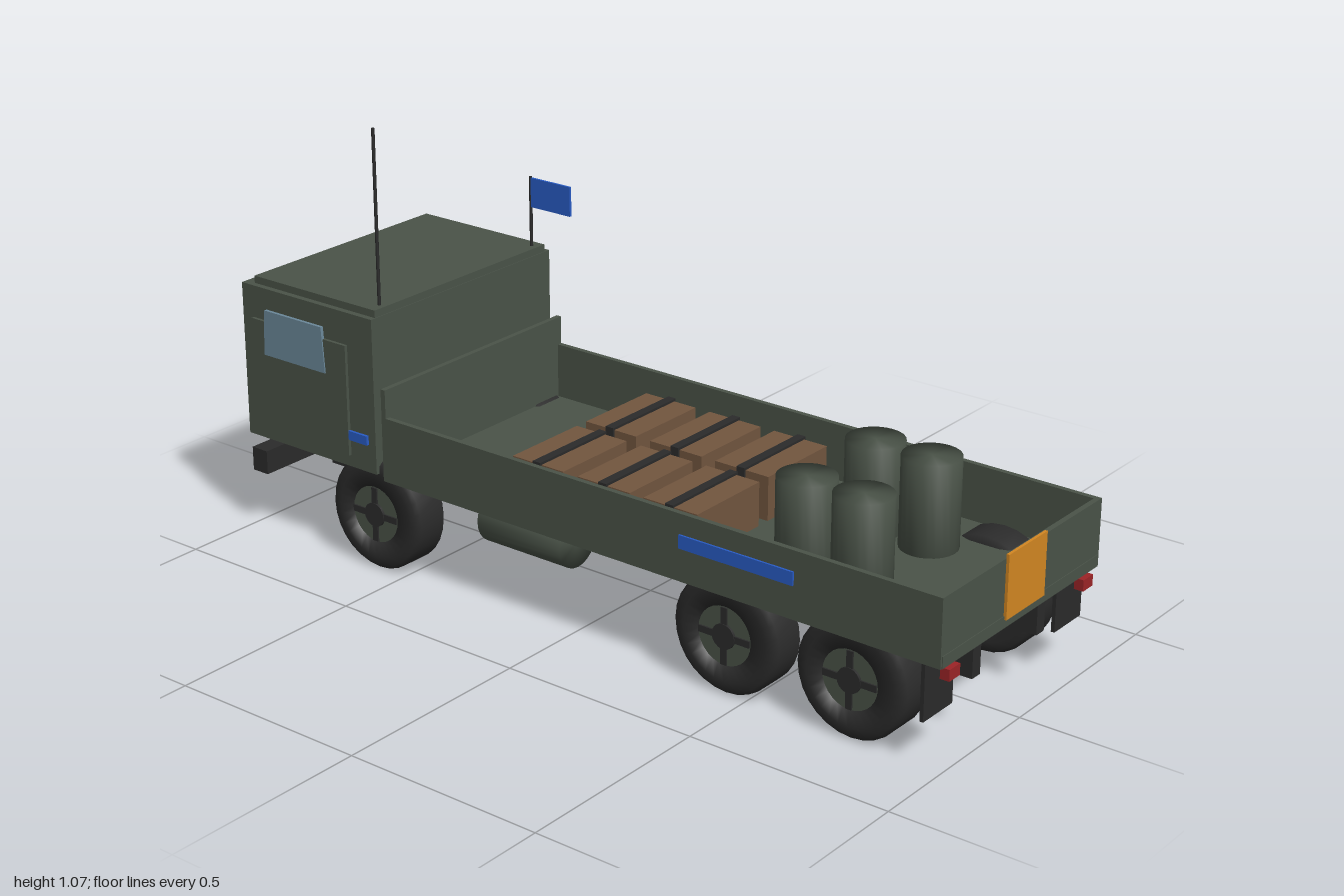
import * as THREE from 'three';

const paint = (name, color) => Object.assign(new THREE.MeshStandardMaterial({ color }), { name });

export function createModel() {
  const truck = new THREE.Group();
  truck.name = 'cargoTruck';
  const green = paint('olive green', 0x4a5348);
  const black = paint('black', 0x2b2b2b);
  const wood = paint('crate wood', 0x72563f);
  const blue = paint('signal blue', 0x295cc4);
  const orange = paint('orange', 0xd38722);
  const red = paint('tail light red', 0x9c2427);
  const glass = paint('window glass', 0x6b8899);
  const cream = paint('headlight cream', 0xc9cdb9);

  const add = (name, geo, mat, x = 0, y = 0, z = 0, parent = truck) => {
    const m = new THREE.Mesh(geo, mat);
    m.name = name;
    m.position.set(x, y, z);
    parent.add(m);
    return m;
  };
  // box given by its lower and upper limits on each axis
  const box = (name, mat, x0, x1, y0, y1, z0, z1, parent = truck) =>
    add(name, new THREE.BoxGeometry(x1 - x0, y1 - y0, z1 - z0), mat,
      (x0 + x1) / 2, (y0 + y1) / 2, (z0 + z1) / 2, parent);
  const lathe = (pts, n) => new THREE.LatheGeometry(pts.map(([r, y]) => new THREE.Vector2(r, y)), n);
  // closed drum with softened shading, centred on its axis
  const drum = (r, h) => lathe([[0, -h / 2], [r, -h / 2], [r, h / 2], [0, h / 2]], 24);

  // cargo bed
  box('bedFloor', green, -0.31, 0.31, 0.24, 0.263, -0.535, 0.985);
  box('tailgate', green, -0.315, 0.315, 0.24, 0.40, 0.98, 0.993);
  box('tailgateSill', green, -0.31, 0.31, 0.24, 0.268, 0.985, 0.995);
  box('headboard', green, -0.315, 0.315, 0.24, 0.47, -0.543, -0.53);

  // cab
  box('cabBody', green, -0.315, 0.315, 0.25, 0.635, -0.985, -0.565);
  box('cabRoof', green, -0.3, 0.3, 0.635, 0.653, -0.957, -0.567);
  box('windshield', glass, -0.28, 0.28, 0.45, 0.6, -0.993, -0.985);
  box('grille', black, -0.225, 0.225, 0.27, 0.39, -0.993, -0.985);
  for (let i = 0; i < 8; i++) {
    const x = -0.13 + i * 0.037;
    box('grilleSlat', black, x - 0.007, x + 0.007, 0.285, 0.375, -1, -0.993);
  }

  // chassis cross members
  box('frontBumper', black, -0.31, 0.31, 0.15, 0.21, -0.985, -0.937);
  box('rearCrossMember', black, -0.13, 0.13, 0.155, 0.21, 0.58, 0.63);

  const windowShape = new THREE.Shape([[-0.91, 0.472], [-0.71, 0.472], [-0.718, 0.585], [-0.903, 0.585]]
    .map(([z, y]) => new THREE.Vector2(-z, y)));
  const windowGeo = new THREE.ExtrudeGeometry(windowShape, { depth: 0.008, bevelEnabled: false });
  windowGeo.rotateY(Math.PI / 2);

  // parts mirrored on both sides
  for (const s of [1, -1]) {
    const side = (name, mat, a, b, ...rest) => box(name, mat, Math.min(s * a, s * b), Math.max(s * a, s * b), ...rest);
    side('bedSide', green, 0.302, 0.315, 0.24, 0.40, -0.535, 0.985);
    side('bedStripe', blue, 0.315, 0.32, 0.32, 0.352, 0.328, 0.628);
    side('door', green, 0.315, 0.323, 0.28, 0.555, -0.95, -0.645);
    side('cabStripe', blue, 0.315, 0.322, 0.32, 0.343, -0.65, -0.587);
    add('sideWindow', windowGeo, glass, s * 0.322 - 0.004, 0, 0);
    side('chassisRail', black, 0.113, 0.144, 0.14, 0.213, -0.882, 0.965);
    side('headlight', cream, 0.19, 0.26, 0.222, 0.252, -0.997, -0.965);
    side('tailLight', red, 0.247, 0.287, 0.203, 0.23, 0.975, 0.998);
    side('mudFlap', black, 0.205, 0.315, 0.108, 0.24, 0.948, 0.957);
    const tank = add('fuelTank', drum(0.065, 0.245), green, s * 0.215, 0.195, -0.162);
    tank.rotation.x = Math.PI / 2;
  }

  // wheels and axles
  const tireGeo = lathe([[0.07, -0.046], [0.11, -0.05], [0.13, -0.048], [0.139, -0.038],
    [0.139, 0.038], [0.13, 0.048], [0.11, 0.05], [0.07, 0.046], [0.07, -0.046]], 28);
  const rimGeo = new THREE.CylinderGeometry(0.074, 0.074, 0.092, 24);
  const hubGeo = new THREE.CylinderGeometry(0.03, 0.03, 0.104, 16);
  const axleGeo = new THREE.BoxGeometry(0.46, 0.03, 0.045);
  for (const z of [0.767, 0.441, -0.585]) {
    add('axle', axleGeo, black, 0, 0.146, z);
    for (const s of [1, -1]) {
      const wheel = new THREE.Group();
      wheel.name = 'wheel';
      wheel.position.set(s * 0.257, 0.14, z);
      wheel.rotation.z = -s * Math.PI / 2;
      truck.add(wheel);
      add('tire', tireGeo, black, 0, 0, 0, wheel);
      add('rim', rimGeo, green, 0, 0, 0, wheel);
      add('hub', hubGeo, black, 0, 0, 0, wheel);
      box('spokeBar', black, -0.068, 0.068, 0.04, 0.05, -0.008, 0.008, wheel);
      box('spokeBar', black, -0.008, 0.008, 0.04, 0.05, -0.068, 0.068, wheel);
    }
  }

  // cargo: strapped crates and drums
  for (const x of [-0.131, 0.129]) {
    for (const z of [-0.13, 0.06, 0.247]) {
      box('crate', wood, x - 0.113, x + 0.113, 0.263, 0.37, z - 0.074, z + 0.074);
      box('crateStrap', black, x - 0.118, x + 0.118, 0.263, 0.376, z - 0.011, z + 0.011);
    }
    for (const z of [0.528, 0.675]) add('barrel', drum(0.068, 0.217), green, x, 0.3715, z);
  }

  // rear marker plate
  box('rearMarker', orange, -0.076, 0.076, 0.26, 0.41, 0.993, 1);

  // antenna, flag pole and flag
  add('antenna', new THREE.CylinderGeometry(0.004, 0.004, 0.44, 8), black, -0.265, 0.855, -0.585);
  add('flagPole', new THREE.CylinderGeometry(0.004, 0.004, 0.19, 8), black, 0.273, 0.735, -0.585);
  box('flag', blue, 0.27, 0.276, 0.753, 0.827, -0.583, -0.46);

  return truck;
}
